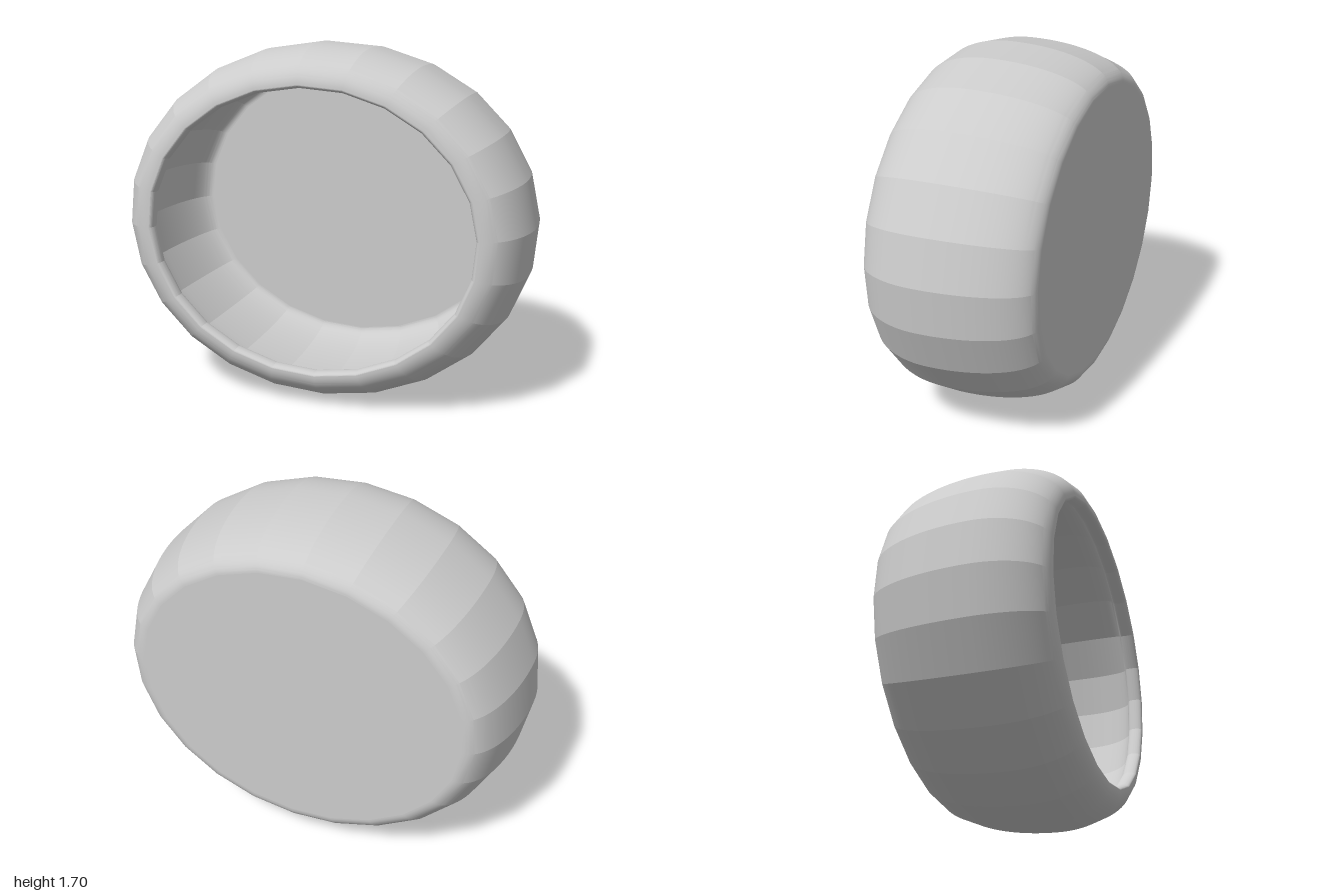
import * as THREE from 'three';
import { toCreasedNormals } from 'three/addons/utils/BufferGeometryUtils.js';

const SIDES = 24;
const PHASE = THREE.MathUtils.degToRad(2.6);
const HALF_DEPTH = 0.407;
const END_RADIUS = 0.805;
const THICKNESS = 0.07;
const WIDEST_Z = 0.09;
const HEIGHT_SCALE = 0.85;

// Points (radius, z) along an elliptical arc
function arc(cr, cz, rr, rz, fromDeg, toDeg, steps) {
  const points = [];
  for (let i = 0; i <= steps; i++) {
    const a = THREE.MathUtils.degToRad(fromDeg + ((toDeg - fromDeg) * i) / steps);
    points.push(new THREE.Vector2(cr + rr * Math.cos(a), cz + rz * Math.sin(a)));
  }
  return points;
}

// Bulging wall from back to front, widest slightly in front of the middle
function bulgingWall(maxRadius, halfDepth) {
  const bulge = maxRadius - END_RADIUS;
  return [
    ...arc(END_RADIUS, WIDEST_Z, bulge, halfDepth + WIDEST_Z, -90, 0, 36),
    ...arc(END_RADIUS, WIDEST_Z, bulge, halfDepth - WIDEST_Z, 0, 90, 28).slice(1),
  ];
}

// Squash to the oval outline and rest on the ground
function toOval(geometry) {
  return geometry.scale(1, HEIGHT_SCALE, 1).translate(0, HEIGHT_SCALE, 0);
}

export function createModel() {
  const group = new THREE.Group();
  group.name = 'ovalBowl';
  const material = new THREE.MeshStandardMaterial({ color: 0xcccccc });

  function add(name, geometry) {
    const mesh = new THREE.Mesh(geometry, material);
    mesh.name = name;
    group.add(mesh);
  }

  // Faceted around the axis, smooth along the profile
  function addRing(name, points) {
    const lathe = new THREE.LatheGeometry(points, SIDES, PHASE).rotateX(Math.PI / 2);
    add(name, toCreasedNormals(toOval(lathe), 0.17));
  }

  // Outer shell, rounded lip and a cavity wall that follows the shell
  const innerHalfDepth = HALF_DEPTH - THICKNESS;
  addRing('outerShell', bulgingWall(1, HALF_DEPTH));
  addRing('lip', arc(END_RADIUS, HALF_DEPTH - THICKNESS / 2, 0.02, THICKNESS / 2, 90, 270, 28));
  addRing('cavityWall', bulgingWall(1 - THICKNESS, innerHalfDepth).reverse());

  // Flat cavity floor and flat back
  const floor = new THREE.CircleGeometry(END_RADIUS, SIDES, PHASE).translate(0, 0, -innerHalfDepth);
  add('cavityFloor', toOval(floor));
  const back = new THREE.CircleGeometry(END_RADIUS, SIDES, -PHASE)
    .rotateY(Math.PI)
    .translate(0, 0, -HALF_DEPTH);
  add('backPanel', toOval(back));

  return group;
}
